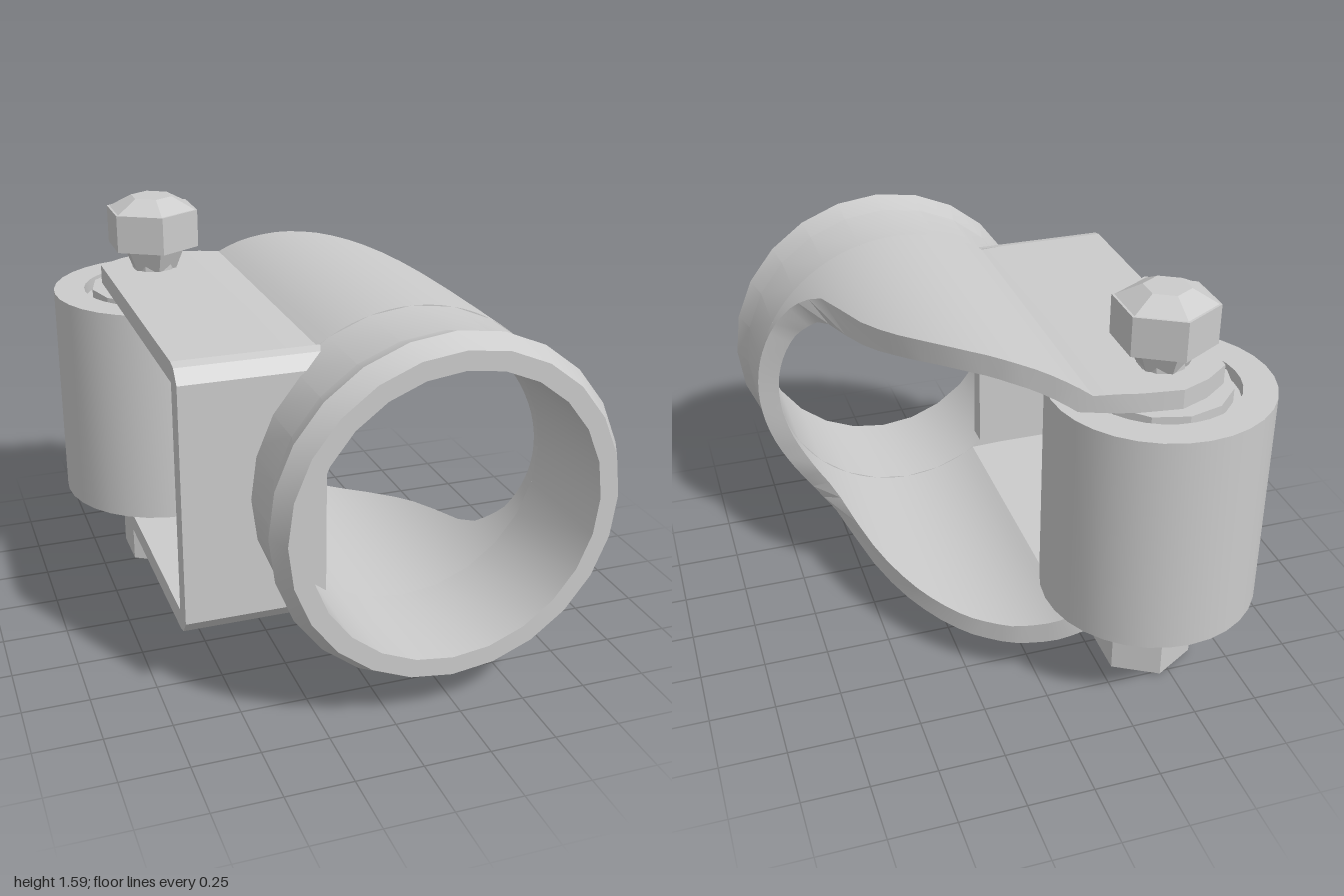
import * as THREE from 'three';
import { toCreasedNormals } from 'three/addons/utils/BufferGeometryUtils.js';

const CX = 0.21, CY = 0.775;      // tube axis
const RO = 0.62, RI = 0.54;       // tube radii
const ZF = 0.54;                  // where the cut-away body meets the collar
const BX = -0.455, BZ = -0.585;   // bolt axis

// Plan outline of the cut-away body: x, z
const OUTLINE = [[-0.66, -0.67], [-0.56, -0.745], [-0.45, -0.79], [-0.3, -0.77], [-0.14, -0.73],
  [-0.05, -0.69], [0.1, -0.6], [0.24, -0.48], [0.33, -0.37], [0.4, -0.265], [0.46, -0.14], [0.51, 0],
  [0.54, 0.14], [0.56, 0.25], [0.59, 0.345], [0.67, 0.45], [0.75, 0.505], [0.84, ZF]];

function backZ(x) {
  let i = 1;
  while (i < OUTLINE.length - 1 && OUTLINE[i][0] < x) i++;
  const [x0, z0] = OUTLINE[i - 1], [x1, z1] = OUTLINE[i];
  return THREE.MathUtils.clamp(z0 + (z1 - z0) * (x - x0) / (x1 - x0), -0.8, ZF);
}

// Flat plate running into the tube arc; side = 1 upper jaw, -1 lower jaw
function jawGeometry(side) {
  const columns = [];
  const addColumn = (xo, yo, xi, yi) => columns.push([
    [xo, yo, backZ(xo)], [xo, yo, ZF], [xi, yi, ZF], [xi, yi, backZ(xi)]
  ].map(([x, y, z]) => [x, CY + side * y, z]));
  for (const x of [-0.66, -0.61, -0.56, -0.5, -0.45, -0.38, -0.3, -0.22]) addColumn(x, 0.515, x, 0.44);
  const steps = 28;
  for (let i = 0; i <= steps; i++) {
    const a = THREE.MathUtils.degToRad(124.5) * (1 - i / steps);
    const c = Math.cos(a), s = Math.sin(a);
    addColumn(CX + RO * c, RO * s, CX + RI * c, RI * s);
  }
  const pos = [];
  const tri = (a, b, c) => pos.push(...a, ...(side > 0 ? b : c), ...(side > 0 ? c : b));
  const quad = (a, b, c, d) => { tri(a, b, c); tri(a, c, d); };
  for (let j = 0; j < columns.length - 1; j++) {
    const p = columns[j], q = columns[j + 1];
    for (let k = 0; k < 4; k++) {
      const n = (k + 1) % 4;
      quad(p[k], p[n], q[n], q[k]);
    }
  }
  quad(columns[0][3], columns[0][2], columns[0][1], columns[0][0]);
  const g = new THREE.BufferGeometry();
  g.setAttribute('position', new THREE.Float32BufferAttribute(pos, 3));
  return toCreasedNormals(g, 0.5);
}

export function createModel() {
  const model = new THREE.Group();
  const smooth = new THREE.MeshStandardMaterial({ color: 0xcccccc, side: THREE.DoubleSide });
  const flat = new THREE.MeshStandardMaterial({ color: 0xcccccc, flatShading: true });
  const add = (name, geometry, material, x = 0, y = 0, z = 0, parent = model) => {
    const mesh = new THREE.Mesh(geometry, material);
    mesh.name = name;
    mesh.position.set(x, y, z);
    parent.add(mesh);
    return mesh;
  };
  const lathe = (points, segments) => toCreasedNormals(
    new THREE.LatheGeometry(points.map(p => new THREE.Vector2(...p)), segments), 0.4);

  // Round collar with a swollen front lip
  const collar = lathe([[RI, ZF], [RO, ZF], [RO, 0.82], [0.652, 0.92], [0.61, 1], [RI, 1], [RI, ZF]], 24);
  add('collar', collar.rotateX(Math.PI / 2), smooth, CX, CY, 0);

  // Upper and lower jaws
  add('upperJaw', jawGeometry(1), smooth);
  add('lowerJaw', jawGeometry(-1), smooth);

  // Front wall joining the jaws, profile in z and y with eased outer corners
  const wall = new THREE.Shape([[0, -0.515], [0.04, -0.505], [0.08, -0.455], [0.08, 0.455],
    [0.04, 0.505], [0, 0.515]].map(p => new THREE.Vector2(...p)));
  const wallGeometry = new THREE.ExtrudeGeometry(wall, { depth: 0.53, bevelEnabled: false });
  wallGeometry.rotateY(-Math.PI / 2);   // profile x becomes z, depth runs to -x
  add('frontWall', toCreasedNormals(wallGeometry, 0.5), smooth, -0.13, CY, ZF);

  // Roller with a shallow recess in each end
  const roller = lathe([[0, 0.39], [0.29, 0.39], [0.29, 0.34], [0.413, 0.34], [0.413, 1.21],
    [0.29, 1.21], [0.29, 1.16], [0, 1.16]], 32);
  add('roller', roller, smooth, BX, 0, -0.587);

  // Bolt, nut and washers
  const bolt = new THREE.Group();
  bolt.name = 'bolt';
  bolt.position.set(BX, 0, BZ);
  model.add(bolt);
  const cyl = (name, rTop, rBottom, y0, y1, sides) =>
    add(name, new THREE.CylinderGeometry(rTop, rBottom, y1 - y0, sides), flat, 0, (y0 + y1) / 2, 0, bolt);
  cyl('shaft', 0.09, 0.09, 0.1, 1.45, 10);
  cyl('upperWasher', 0.26, 0.26, 1.15, 1.215, 12);
  cyl('lowerWasher', 0.26, 0.26, 0.335, 0.4, 12);
  cyl('upperNeck', 0.135, 0.09, 1.28, 1.39, 6);
  cyl('lowerNeck', 0.13, 0.13, 0.165, 0.27, 6);
  cyl('head', 0.19, 0.19, 1.385, 1.535, 6);
  cyl('headDome', 0.085, 0.18, 1.535, 1.585, 6);
  cyl('nut', 0.19, 0.19, 0.01, 0.17, 6);
  cyl('nutChamfer', 0.19, 0.175, 0, 0.01, 6);

  return model;
}
